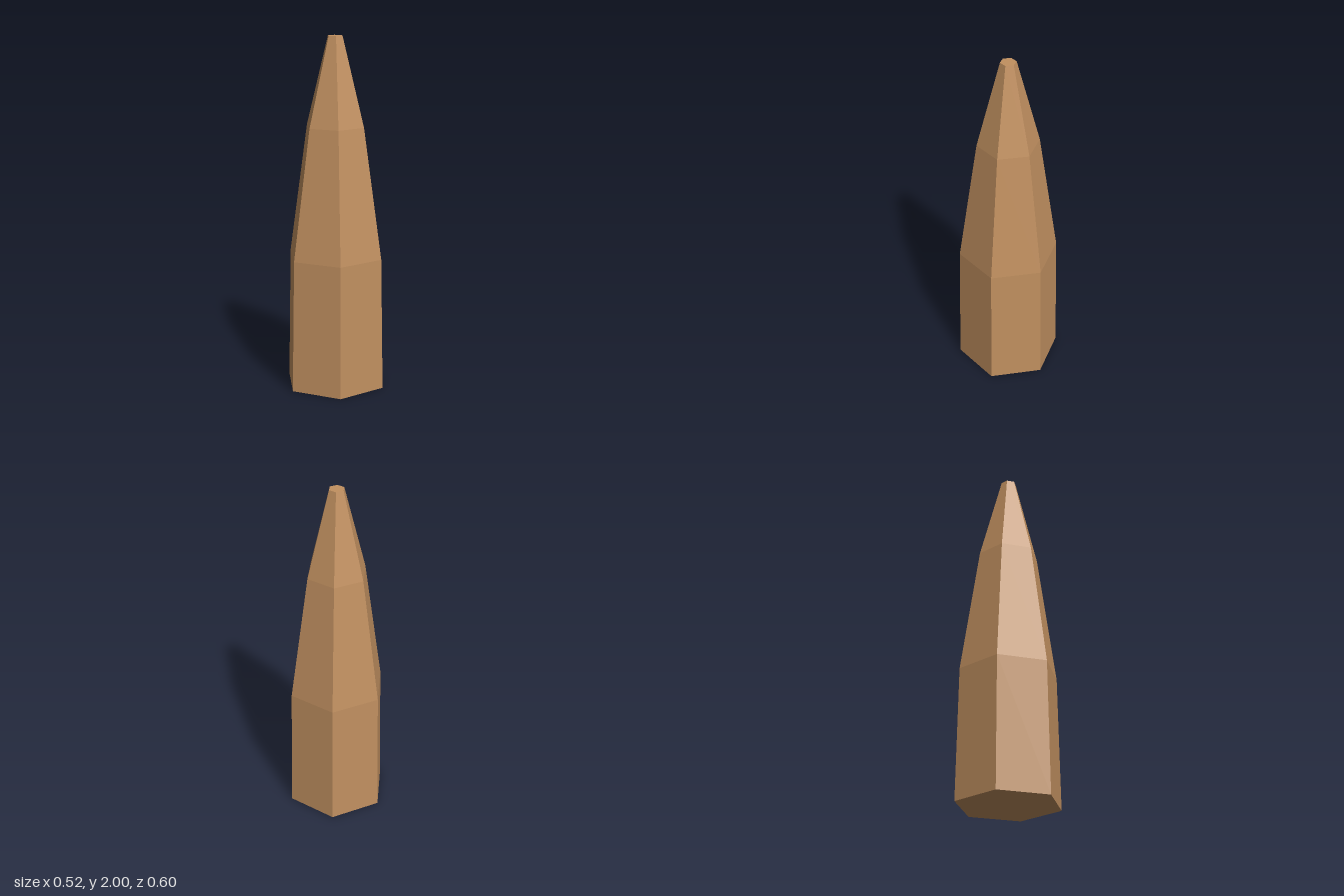
import * as THREE from 'three';

// Tapered six-sided spike, closed at both ends
export function createModel() {
  const group = new THREE.Group();
  group.name = 'spike';
  const material = new THREE.MeshStandardMaterial({ color: 0xc19060, flatShading: true });

  // Corner radius and height of each ring, bottom to top
  const profile = [
    [0, 0],
    [0.298, 0],
    [0.283, 0.76],
    [0.174, 1.5],
    [0.044, 2],
    [0, 2],
  ].map(([r, y]) => new THREE.Vector2(r, y));

  // Six segments put one corner on +z and one on -z
  const shaft = new THREE.Mesh(new THREE.LatheGeometry(profile, 6), material);
  shaft.name = 'taperedShaft';
  group.add(shaft);
  return group;
}
